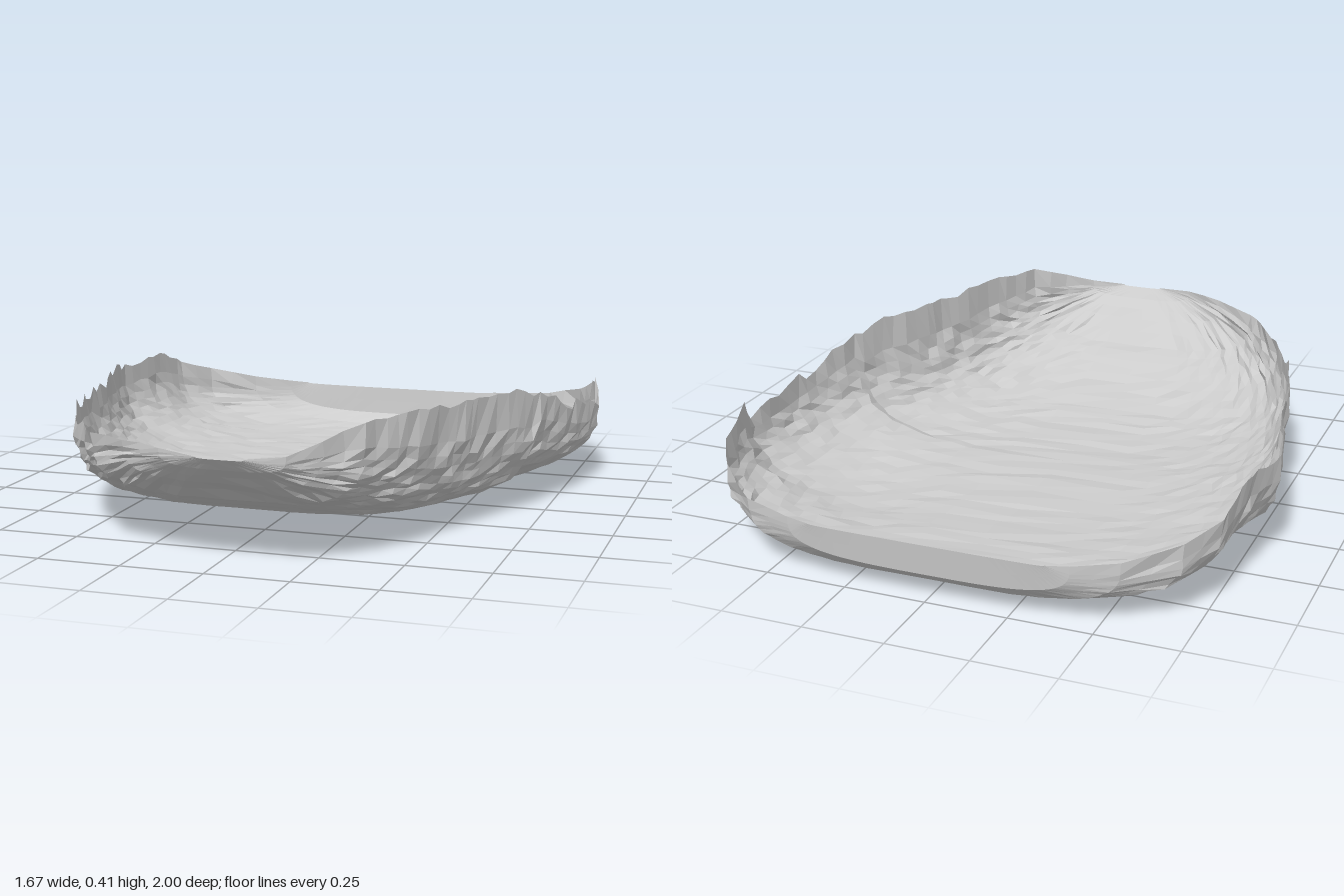
import * as THREE from 'three';

// Stations along the shell: z, right edge x, left edge x, floor y, right rim y, left rim y
const STATIONS = [
  [-1.00, -0.36, 0.36, 0.185, 0.19, 0.19],
  [-0.99, -0.43, 0.43, 0.09, 0.195, 0.195],
  [-0.95, -0.56, 0.58, 0.055, 0.21, 0.21],
  [-0.85, -0.71, 0.71, 0.035, 0.25, 0.25],
  [-0.75, -0.78, 0.765, 0.03, 0.29, 0.29],
  [-0.59, -0.80, 0.80, 0.022, 0.35, 0.33],
  [-0.50, -0.81, 0.83, 0.02, 0.34, 0.28],
  [-0.36, -0.84, 0.81, 0.02, 0.33, 0.29],
  [-0.18, -0.80, 0.78, 0.025, 0.34, 0.325],
  [0.00, -0.745, 0.73, 0.03, 0.33, 0.38],
  [0.12, -0.735, 0.68, 0.03, 0.33, 0.41],
  [0.30, -0.69, 0.60, 0.04, 0.33, 0.41],
  [0.45, -0.64, 0.55, 0.06, 0.325, 0.41],
  [0.60, -0.57, 0.50, 0.10, 0.33, 0.42],
  [0.80, -0.42, 0.40, 0.175, 0.335, 0.42],
  [0.90, -0.28, 0.31, 0.24, 0.35, 0.38],
  [0.97, -0.14, 0.23, 0.295, 0.345, 0.345],
  [1.00, -0.02, 0.12, 0.33, 0.335, 0.335],
];
const ACROSS = 36;

// Repeatable noise in -1..1
function noise(i, j) {
  const s = Math.sin(i * 127.1 + j * 311.7) * 43758.5453;
  return 2 * (s - Math.floor(s)) - 1;
}

// Split each gap between stations so that slices are at most 0.05 apart
function makeSlices() {
  const slices = [];
  for (let k = 0; k < STATIONS.length - 1; k++) {
    const a = STATIONS[k], b = STATIONS[k + 1];
    const n = Math.max(2, Math.ceil((b[0] - a[0]) / 0.05));
    for (let i = 0; i < n; i++) slices.push(a.map((v, c) => v + (b[c] - v) * i / n));
  }
  slices.push(STATIONS[STATIONS.length - 1]);
  return slices;
}

// One sheet lofted through flat-bottomed, steep-sided cross-sections
function shellGeometry() {
  const slices = makeSlices();
  const positions = [], index = [];
  slices.forEach(([z, xr, xl, floor, rimR, rimL], i) => {
    const mid = (xr + xl) / 2, half = (xl - xr) / 2;
    const rough = THREE.MathUtils.smoothstep(1 - Math.abs(z), 0, 0.15);
    for (let j = 0; j <= ACROSS; j++) {
      const t = (j / ACROSS) * 2 - 1;
      const angle = Math.abs(t) * Math.PI / 2;
      const power = t > 0 && z > 0 ? 4.2 : 3.3;
      const side = Math.pow(Math.sin(angle), 2 / power);
      const lift = 1 - Math.pow(Math.max(0, Math.cos(angle)), 2 / power);
      // Near the middle, spread the points evenly over the floor
      const x = mid + Math.sign(t) * half * side;
      let y = floor + ((t > 0 ? rimL : rimR) - floor) * lift;
      // Shallow sag under the left rear
      y -= 0.018 * Math.exp(-(((x - 0.48) / 0.2) ** 2) - ((z + 0.45) / 0.25) ** 2);
      // Hammered surface and a ragged edge along the sides
      y += 0.004 * rough * noise(i, j);
      const atRim = j === 0 || j === ACROSS;
      if (atRim && z > -0.6) {
        const ragged = j === 0 ? (z < 0.4 ? 0.024 : 0.01) : (z < 0.05 ? 0.024 : 0.006);
        y += ragged * rough * noise(i, j + 7);
      }
      const dx = atRim ? 0.004 : 0.007;
      positions.push(x + dx * rough * noise(j, i), Math.max(0, y), z + 0.01 * rough * noise(i + 31, j));
    }
  });
  const row = ACROSS + 1;
  for (let i = 0; i < slices.length - 1; i++) {
    for (let j = 0; j < ACROSS; j++) {
      const a = i * row + j, b = a + 1, c = a + row, d = c + 1;
      index.push(a, c, b, b, c, d);
    }
  }
  const geometry = new THREE.BufferGeometry();
  geometry.setAttribute('position', new THREE.Float32BufferAttribute(positions, 3));
  geometry.setIndex(index);
  geometry.computeVertexNormals();
  return geometry;
}

export function createModel() {
  const group = new THREE.Group();
  group.name = 'shallowShell';
  const material = new THREE.MeshStandardMaterial({
    color: 0xcccccc, flatShading: true, side: THREE.DoubleSide,
  });
  const shell = new THREE.Mesh(shellGeometry(), material);
  shell.name = 'shell';
  group.add(shell);
  return group;
}
